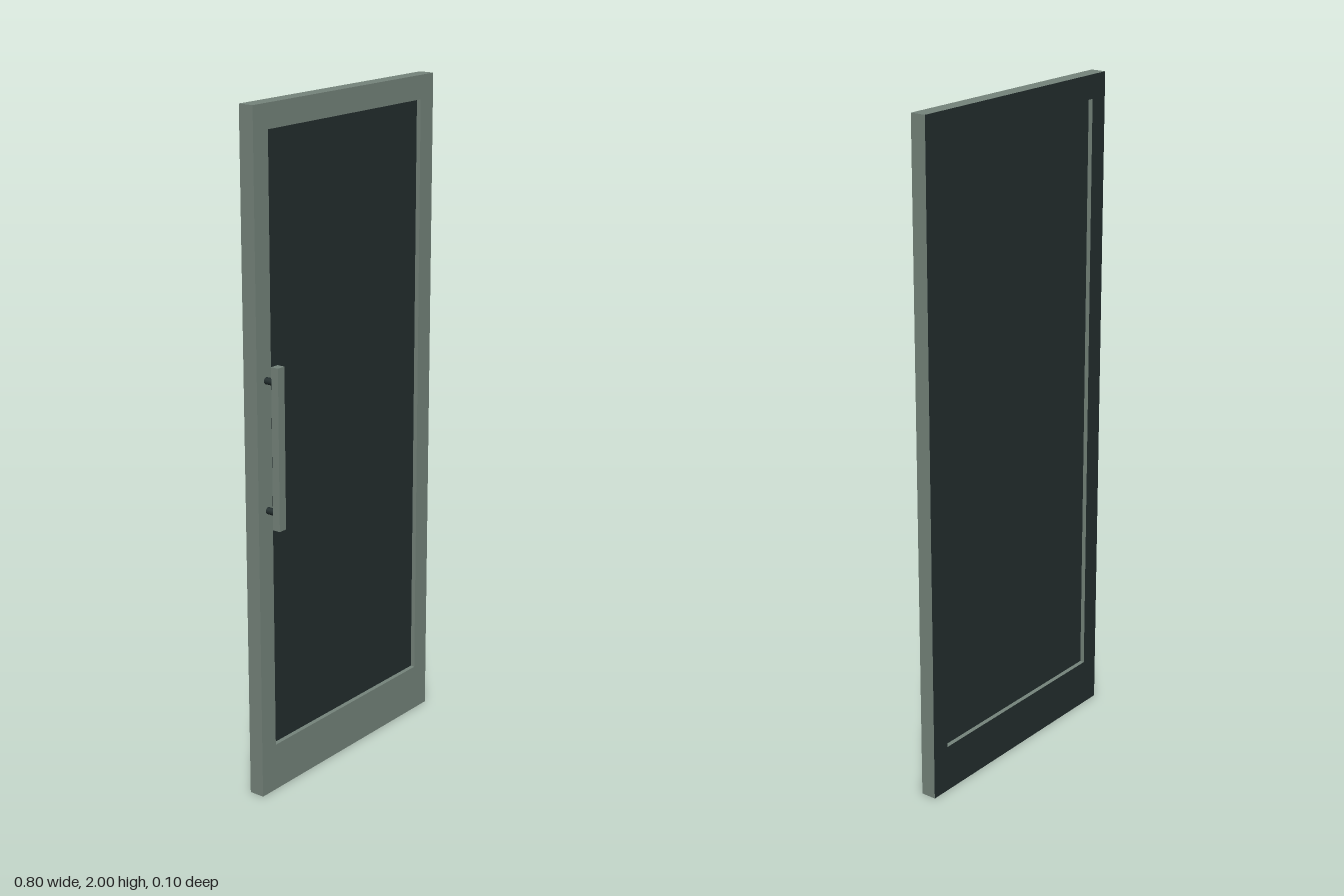
import * as THREE from 'three';

export function createModel() {
  const model = new THREE.Group();
  model.name = 'door';
  const material = (name, color) => {
    const m = new THREE.MeshStandardMaterial({ color });
    m.name = name;
    return m;
  };
  const grey = material('greyGreen', 0x75847b);
  const dark = material('darkSlate', 0x232e2e);

  const add = (name, geometry, mat, x, y, z) => {
    const mesh = new THREE.Mesh(geometry, mat);
    mesh.name = name;
    mesh.position.set(x, y, z);
    model.add(mesh);
    return mesh;
  };
  const rectangle = (path, x0, y0, x1, y1) =>
    path.moveTo(x0, y0).lineTo(x1, y0).lineTo(x1, y1).lineTo(x0, y1).closePath();

  const back = -0.05, front = -0.003;
  const left = -0.34, right = 0.34, bottom = 0.143, top = 1.93;

  // Frame with a tall opening; its back face is dark
  const outline = rectangle(new THREE.Shape(), -0.4, 0, 0.4, 2);
  outline.holes.push(rectangle(new THREE.Path(), left, bottom, right, top));
  const frame = new THREE.ExtrudeGeometry(outline, { depth: front - back, bevelEnabled: false });
  const [caps, sides] = frame.groups;
  const half = caps.count / 2;
  frame.clearGroups();
  frame.addGroup(0, half, 1);
  frame.addGroup(half, half, 0);
  frame.addGroup(sides.start, sides.count, 0);
  add('frame', frame, [grey, dark], 0, 0, back);

  // Panel recessed from both faces
  add('glassPanel', new THREE.BoxGeometry(right - left, top - bottom, 0.02), dark,
    (left + right) / 2, (bottom + top) / 2, (back + front) / 2);

  // Pull handle on two standoffs
  const handleX = -0.36;
  add('handleBar', new THREE.BoxGeometry(0.027, 0.47, 0.024), grey, handleX, 1.06, 0.038);
  for (const y of [0.873, 1.249]) {
    const post = add('handlePost', new THREE.CylinderGeometry(0.01, 0.01, 0.031, 16), dark,
      handleX, y, 0.0115);
    post.rotation.x = Math.PI / 2;
  }
  return model;
}
